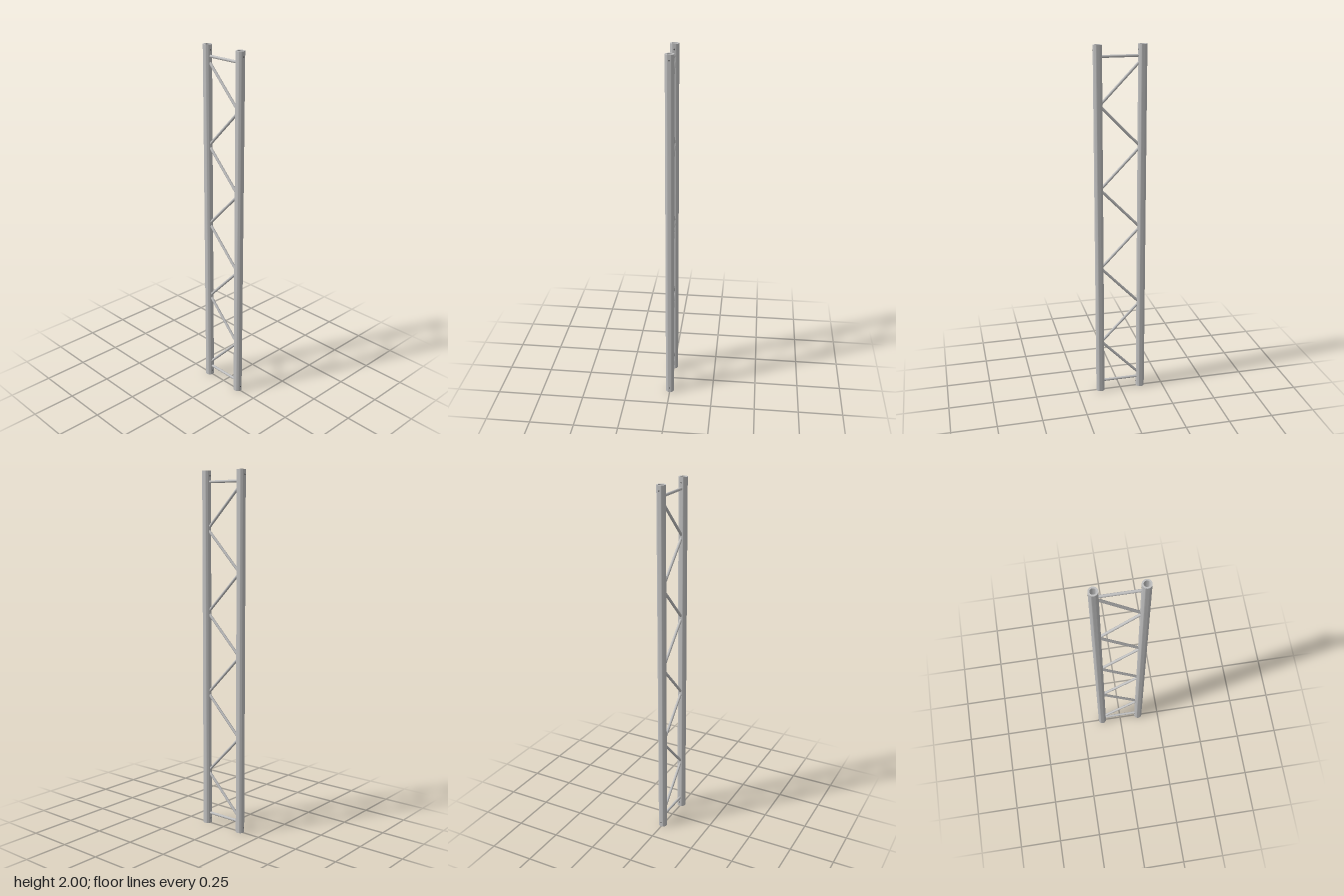
import * as THREE from 'three';
import { toCreasedNormals } from 'three/addons/utils/BufferGeometryUtils.js';

const HEIGHT = 2, TUBE_X = 0.12, TUBE_R = 0.024, BORE_R = 0.0155;
const ROD_R = 0.0075, ROD_LENGTH = 0.204;

// Hollow upright tube
function tubeGeometry() {
  const ring = new THREE.Shape().absarc(0, 0, TUBE_R, 0, Math.PI * 2);
  ring.holes.push(new THREE.Path().absarc(0, 0, BORE_R, 0, Math.PI * 2, true));
  const g = new THREE.ExtrudeGeometry(ring, { depth: HEIGHT, bevelEnabled: false, curveSegments: 32 });
  return toCreasedNormals(g.rotateX(-Math.PI / 2), 0.6);
}

// Rod between the tubes, sheared so both ends are cut parallel to the uprights
function rodGeometry(slope) {
  const g = new THREE.CylinderGeometry(ROD_R, ROD_R, ROD_LENGTH, 20).rotateZ(Math.PI / 2);
  const stretch = Math.hypot(1, slope);
  return g.applyMatrix4(new THREE.Matrix4().set(
    1, 0, 0, 0,
    slope, stretch, 0, 0,
    0, 0, 1, 0,
    0, 0, 0, 1));
}

export function createModel() {
  const group = new THREE.Group();
  const aluminium = new THREE.MeshStandardMaterial({ color: 0xc0c0c0 });
  aluminium.name = 'aluminium';
  const shadowGrey = new THREE.MeshStandardMaterial({ color: 0x606060 });
  shadowGrey.name = 'dark grey';

  const add = (name, geometry, material, x, y) => {
    const mesh = new THREE.Mesh(geometry, material);
    mesh.name = name;
    mesh.position.set(x, y, 0);
    group.add(mesh);
  };

  // Uprights with small pin holes near each end
  const tube = tubeGeometry();
  const pin = new THREE.CylinderGeometry(0.004, 0.004, 0.001, 16).rotateZ(Math.PI / 2);
  for (const side of [-1, 1]) {
    add(side > 0 ? 'leftTube' : 'rightTube', tube, aluminium, side * TUBE_X, 0);
    for (const y of [0.028, HEIGHT - 0.028]) {
      for (const face of [-1, 1]) {
        add('pinHole', pin, shadowGrey, side * TUBE_X + face * (TUBE_R - 0.0003), y);
      }
    }
  }

  // Level rungs at both ends
  const rung = rodGeometry(0);
  add('bottomRung', rung, aluminium, 0, 0.06);
  add('topRung', rung, aluminium, 0, HEIGHT - 0.06);

  // Zigzag bracing
  const rising = rodGeometry(1.03), falling = rodGeometry(-1.03);
  for (let i = 0; i < 8; i++) {
    add('diagonalBrace', i % 2 ? falling : rising, aluminium, 0, 0.198 + i * 0.2291);
  }
  return group;
}
